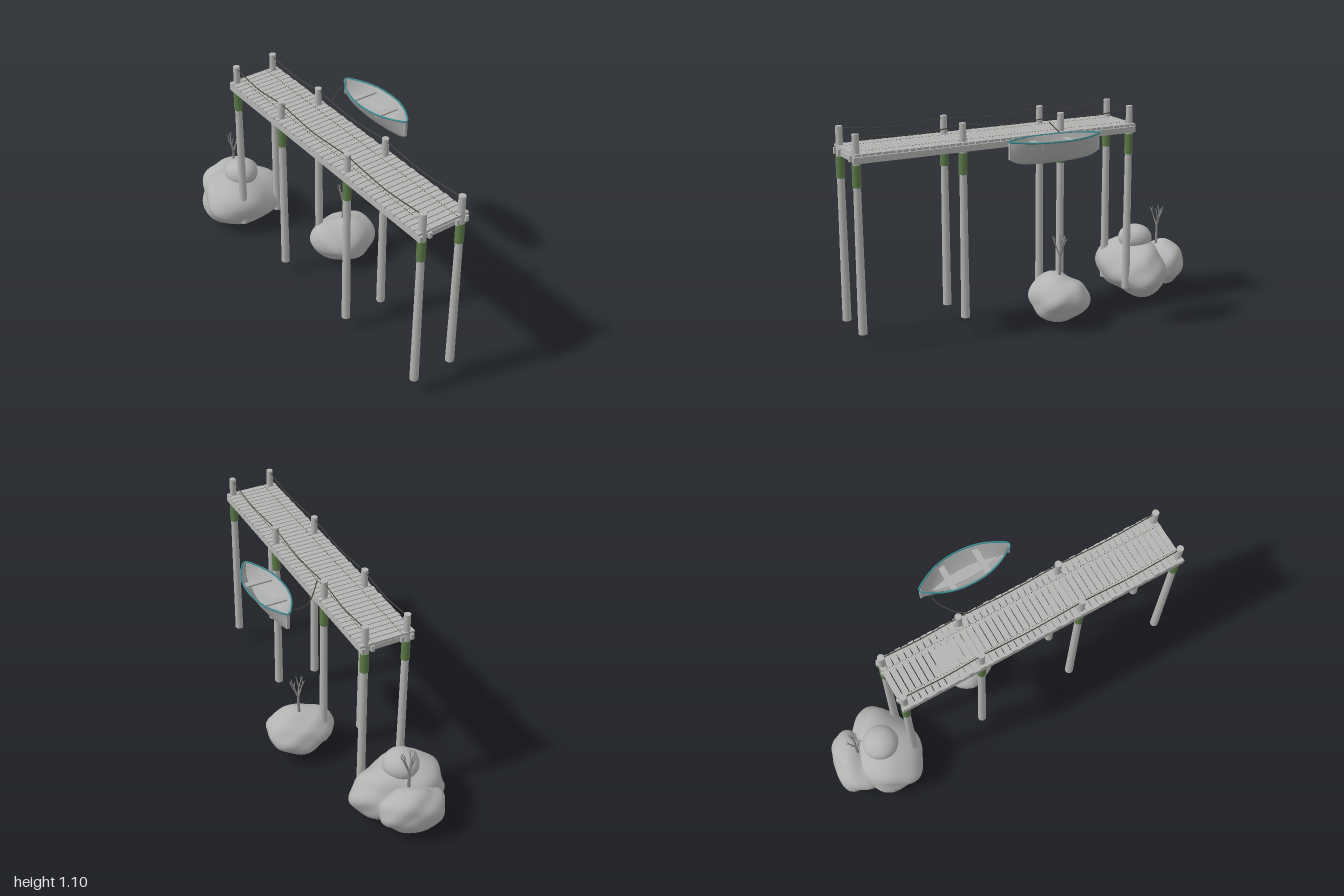
import * as THREE from 'three';
import { mergeVertices, mergeGeometries } from 'three/addons/utils/BufferGeometryUtils.js';

const mat = (name, color, side = THREE.FrontSide) => {
  const m = new THREE.MeshStandardMaterial({ color, side });
  m.name = name;
  return m;
};

export function createModel() {
  const wood = mat('weathered wood', 0xb4b5b3);
  const stone = mat('stone', 0xb2b4b2);
  const moss = mat('moss green', 0x5c7a48);
  const rope = mat('dark rope', 0x4a4640);
  const teal = mat('teal trim', 0x3d8c94);
  const bark = mat('grey bark', 0x8c8c8a);
  const hullPaint = mat('hull grey', 0xaeb0af, THREE.DoubleSide);

  const model = new THREE.Group();
  model.name = 'jetty';
  const add = (name, geo, material, parent = model) => {
    const m = new THREE.Mesh(geo, material);
    m.name = name;
    parent.add(m);
    return m;
  };
  const box = (w, h, d, x, y, z) => new THREE.BoxGeometry(w, h, d).translate(x, y, z);
  const V = (x, y, z) => new THREE.Vector3(x, y, z);
  const tube = (pts, r, n = 16, closed = false) =>
    new THREE.TubeGeometry(new THREE.CatmullRomCurve3(pts, closed), n, r, 6, closed);
  // Tapered round stick between two points
  const stick = (a, b, r0, r1) => {
    const d = b.clone().sub(a);
    const g = new THREE.CylinderGeometry(r1, r0, d.length(), 6);
    g.applyQuaternion(new THREE.Quaternion().setFromUnitVectors(V(0, 1, 0), d.clone().normalize()));
    return g.translate(...a.clone().add(b).multiplyScalar(0.5).toArray());
  };

  // Posts with moss bands, and handrail ropes between their tops
  const postX = [-0.188, 0.036], postZ = [0.972, 0.412, -0.145, -0.565];
  for (const x of postX) {
    postZ.forEach((z, i) => {
      const bottom = i === 0 ? 0.095 : 0.085;
      add('post', new THREE.CylinderGeometry(0.0175, 0.0225, 1.1 - bottom, 16)
        .translate(x, (1.1 + bottom) / 2, z), wood);
      add('mossBand', new THREE.CylinderGeometry(0.022, 0.0225, 0.11, 16).translate(x, 0.895, z), moss);
      if (i < 3) {
        const z2 = postZ[i + 1];
        const pts = [0, 0.25, 0.5, 0.75, 1].map(t =>
          V(x, 1.088 - 0.021 * (1 - Math.abs(2 * t - 1) ** 1.3), z + (z2 - z) * t));
        add('handrailRope', tube(pts, 0.0028), rope);
      }
    });
  }

  // Deck planks, each with nails over the stringers
  const planks = [], nails = [], count = 45, z0 = -0.587, pitch = 1.577 / count;
  for (let i = 0; i < count; i++) {
    const z = z0 + (i + 0.5) * pitch;
    const shift = 0.002 * Math.sin(i * 2.7);
    planks.push(box(0.29, 0.013, pitch - 0.005, -0.076 + shift, 1.0005, z));
    for (const x of [-0.155, 0.002])
      for (const s of [-1, 1]) nails.push(box(0.004, 0.002, 0.004, x, 1.0075, z + s * 0.008));
  }
  add('deckPlanks', mergeGeometries(planks), wood);
  add('deckNails', mergeGeometries(nails), rope);

  // Stringers on both sides of the posts, and cross beams at each pair of posts
  for (const x of [-0.21, -0.155, 0.002, 0.056])
    add('stringer', box(0.017, 0.031, 1.585, x, 0.975, 0.203), wood);
  for (const z of postZ)
    add('crossBeam', box(0.25, 0.026, 0.022, -0.076, 0.972, z), wood);

  // Boulders: an icosphere pushed in and out by smooth waves
  const rock = (name, c, r, seed, amp = 0.09) => {
    let g = new THREE.IcosahedronGeometry(1, 9);
    g.deleteAttribute('uv');
    g.deleteAttribute('normal');
    g = mergeVertices(g, 1e-4);
    const p = g.attributes.position, v = V(0, 0, 0);
    for (let i = 0; i < p.count; i++) {
      v.fromBufferAttribute(p, i);
      const n = Math.sin(3.1 * v.x + 2.2 * v.y + seed) + Math.sin(3.7 * v.z - 2.6 * v.x + seed * 2.3)
        + 0.8 * Math.sin(5.3 * v.y + 4.1 * v.z + seed * 1.7) * Math.cos(5 * v.x + seed);
      const k = 1 + amp * (n * 0.6 - 0.1);
      p.setXYZ(i, c[0] + v.x * r[0] * k, c[1] + v.y * r[1] * k, c[2] + v.z * r[2] * k);
    }
    g.computeVertexNormals();
    add(name, g, stone);
  };
  rock('largeBoulder', [-0.108, 0.157, -0.70], [0.263, 0.155, 0.178], 1.2);
  rock('rearBoulder', [-0.09, 0.16, -0.875], [0.17, 0.122, 0.122], 4.1);
  rock('capBoulder', [-0.105, 0.315, -0.714], [0.094, 0.075, 0.094], 2.0, 0.01);
  rock('sideBoulder', [0.15, 0.15, -0.078], [0.185, 0.12, 0.152], 2.9);

  // Bare forking shrubs
  const shrub = (base, turn) => {
    const parts = [];
    const grow = (a, dir, len, r, depth, az) => {
      const b = a.clone().addScaledVector(dir, len);
      parts.push(stick(a, b, r, r * 0.7));
      if (!depth) return;
      const n = depth === 3 ? 4 : 2;
      for (let i = 0; i < n; i++) {
        const q = az + (i * Math.PI * 2) / n + 0.4 * i;
        const spread = depth === 3 ? 0.42 + 0.12 * (i % 2) : 0.38;
        const d = dir.clone().add(V(Math.cos(q) * spread, 0.35, Math.sin(q) * spread * 0.9)).normalize();
        const step = depth === 3 ? 0.055 : depth === 2 ? 0.036 : 0.026;
        grow(b, d, step, r * 0.65, depth - 1, q + 1.1);
      }
    };
    grow(base, V(0.03, 1, 0).normalize(), 0.115, 0.0085, 3, turn);
    add('shrub', mergeGeometries(parts), bark);
  };
  shrub(V(-0.08, 0.255, -0.84), 0.5);
  shrub(V(0.148, 0.25, -0.08), 0.2);

  // Rowing boat: lofted from V-shaped cross-sections
  const boat = new THREE.Group();
  boat.name = 'boat';
  boat.position.set(0.272, 0, 0.022);
  model.add(boat);
  const half = 0.252, NT = 28, NS = 14;
  const width = t => 0.008 + 0.085 * (1 - Math.abs(t) ** 2.3);
  const keelY = t => 0.906 + 0.016 * t * t + 0.022 * t ** 8;
  const railY = t => 1.028 + 0.004 * t * t;
  const loft = (inset, lift) => {
    const pos = [], idx = [];
    for (let i = 0; i <= NT; i++) {
      const t = -1 + (2 * i) / NT;
      for (let j = 0; j <= NS; j++) {
        const s = -1 + (2 * j) / NS, u = Math.abs(s) ** 1.45;
        const low = keelY(t) + lift;
        pos.push(Math.max(width(t) - inset, 0.002) * s, low + (railY(t) - low) * u, t * (half - inset));
        if (i < NT && j < NS) {
          const a = i * (NS + 1) + j, b = a + NS + 1;
          idx.push(a, a + 1, b, a + 1, b + 1, b);
        }
      }
    }
    const g = new THREE.BufferGeometry();
    g.setAttribute('position', new THREE.Float32BufferAttribute(pos, 3));
    g.setIndex(idx);
    g.computeVertexNormals();
    return g;
  };
  add('hull', loft(0, 0), hullPaint, boat);
  add('hullLining', loft(0.006, 0.008), hullPaint, boat);

  // Stems, floor board and seats
  for (const s of [-1, 1])
    add('stem', box(0.016, 0.086, 0.008, 0, 0.988, s * (half - 0.002)), hullPaint, boat);
  const floor = new THREE.Shape();
  floor.moveTo(0, -0.19);
  floor.quadraticCurveTo(0.062, 0, 0, 0.19);
  floor.quadraticCurveTo(-0.062, 0, 0, -0.19);
  add('floorBoard', new THREE.ExtrudeGeometry(floor, { depth: 0.006, bevelEnabled: false })
    .rotateX(-Math.PI / 2).translate(0, 0.946, 0), hullPaint, boat);
  for (const z of [-0.097, 0.093])
    add('seat', box(0.145, 0.008, 0.032, 0, 1.006, z), hullPaint, boat);

  // Painted rim
  const rim = [];
  for (const side of [1, -1])
    for (let i = 0; i <= 12; i++) {
      const t = side * (-1 + i / 6);
      rim.push(V(side * width(t), railY(t), t * half));
    }
  add('gunwale', tube(rim, 0.0045, 90, true), teal, boat);

  // Mooring line from the jetty to the boat
  add('mooringRope', tube([V(0.04, 1.06, -0.075), V(0.068, 1.025, -0.1), V(0.107, 0.992, -0.13),
    V(0.185, 1.007, -0.185), V(0.226, 1.022, -0.195)], 0.0028, 30), rope);

  return model;
}
